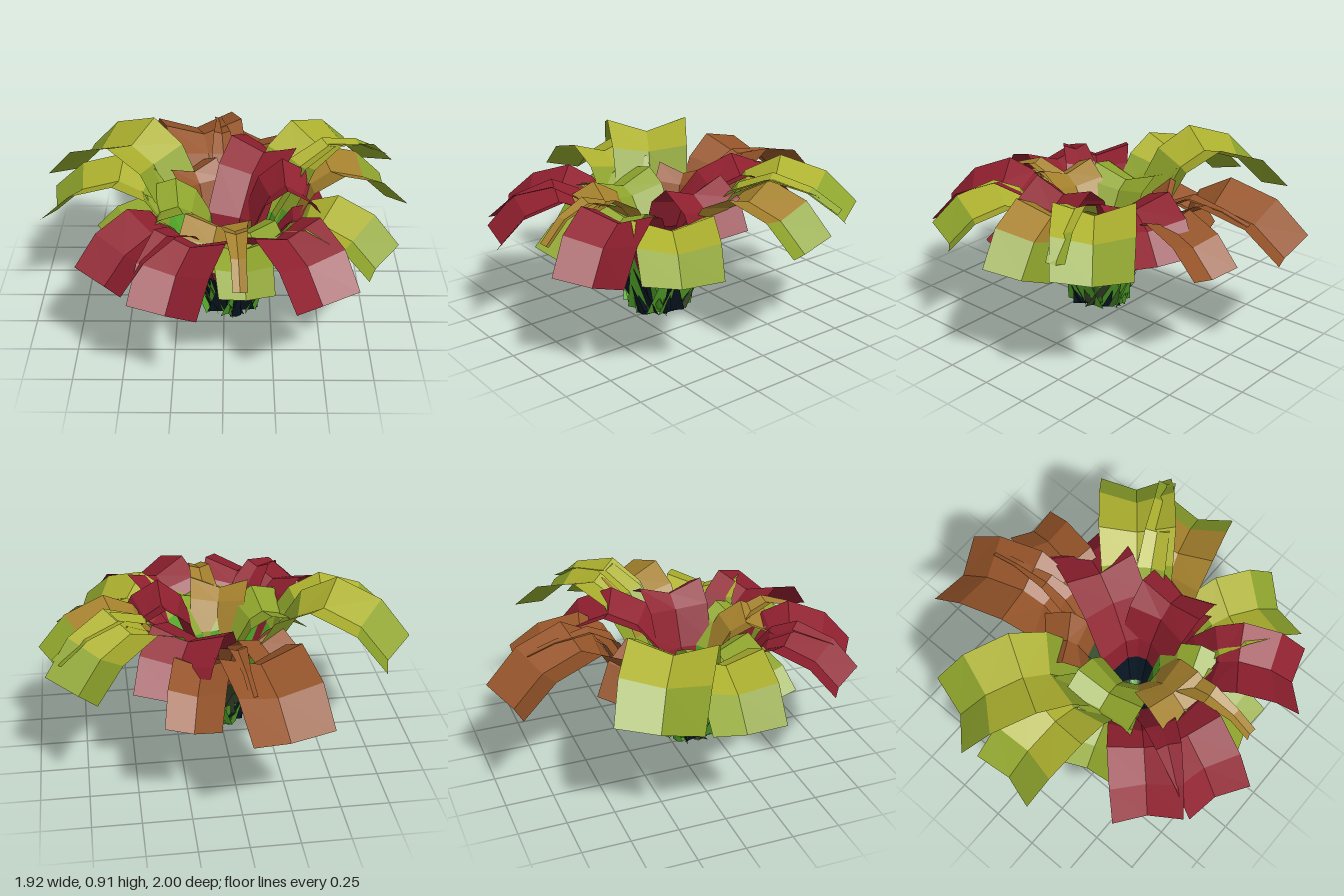
import * as THREE from 'three';

const mat = (name, color) => {
  const m = new THREE.MeshStandardMaterial({ color, side: THREE.DoubleSide, flatShading: true });
  m.name = name;
  return m;
};

export function createModel() {
  const plant = new THREE.Group();
  plant.name = 'plant';

  const navy = mat('deepNavy', 0x081724), red = mat('crimson', 0x8e1f2e);
  const green = mat('freshGreen', 0x55a82a), lime = mat('lime', 0x8ea42c);
  const yellow = mat('yellowGreen', 0xacb02e), gold = mat('gold', 0xa4802c);
  const brown = mat('rust', 0x955429), moss = mat('mossGreen', 0x3a4d2e);
  const grass = mat('grassGreen', 0x3a6e20);

  // Material of each of the six segments, from root to tip
  const schemes = {
    red: [navy, red, red, red, red, red],
    lime: [green, green, lime, yellow, yellow, lime],
    pale: [green, green, lime, lime, lime, lime],
    fresh: [grass, green, lime, lime, lime, green],
    gold: [green, lime, gold, gold, gold, lime],
    rust: [moss, moss, brown, brown, brown, brown],
    bronze: [green, lime, gold, gold, gold, gold],
  };
  const cx = 0.03, cz = 0.12;

  // Folded strip: rows are [radius, height, width], edges raised by fold * width
  function strip(name, angle, rows, mats, fold) {
    const d = new THREE.Vector3(Math.sin(angle), 0, Math.cos(angle));
    const side = new THREE.Vector3(d.z, 0, -d.x);
    const mids = rows.map(([r, y]) => new THREE.Vector3(cx + d.x * r, y, cz + d.z * r));
    const lines = mids.map((p, i) => {
      const t = mids[Math.min(i + 1, mids.length - 1)].clone().sub(mids[Math.max(i - 1, 0)]).normalize();
      const n = t.cross(side);
      const w = rows[i][2];
      return [-0.5, 0, 0.5].map(k =>
        p.clone().addScaledVector(side, k * w).addScaledVector(n, k ? fold * w : 0));
    });
    const pos = [], used = [...new Set(mats)];
    const g = new THREE.BufferGeometry();
    for (let i = 0; i + 1 < lines.length; i++) {
      g.addGroup(pos.length / 3, 12, used.indexOf(mats[i]));
      for (let k = 0; k < 2; k++) {
        const a = lines[i][k], b = lines[i][k + 1], c = lines[i + 1][k + 1], e = lines[i + 1][k];
        for (const v of [a, e, c, a, c, b]) pos.push(v.x, v.y, v.z);
      }
    }
    g.setAttribute('position', new THREE.Float32BufferAttribute(pos, 3));
    g.computeVertexNormals();
    const mesh = new THREE.Mesh(g, used);
    mesh.name = name;
    plant.add(mesh);
  }

  // Arching leaf whose midrib ends at (x, y, z); root and bend are radii near the stem
  function leaf(name, scheme, [x, y, z], peak, width, root, bend, bendY, tipScale = 1) {
    const R = Math.hypot(x - cx, z - cz), top = 0.63 * R;
    const rows = [
      [root, 0.04, 0.85 * width],
      [root + (bend - root) * 0.55, 0.32, 0.85 * width],
      [bend, bendY, 0.87 * width],
      [(bend + top) / 2, bendY + (peak - bendY) * 0.75, 0.93 * width],
      [top, peak, width * (1 + tipScale) / 2],
      [0.84 * R, peak - (peak - y) * 0.3, width * tipScale],
      [R, y, 0.96 * width * tipScale],
    ];
    strip(name, Math.atan2(x - cx, z - cz), rows, schemes[scheme], 0.17);
  }

  // Outer crown: scheme, tip, peak height, width
  for (const [scheme, tip, peak, width] of [
    ['lime', [0.77, 0.61, -0.50], 0.81, 0.40],
    ['gold', [0.87, 0.56, -0.14], 0.76, 0.38],
    ['lime', [0.75, 0.51, 0.51], 0.68, 0.40],
    ['red', [0.47, 0.50, 0.82], 0.71, 0.38],
    ['pale', [0.11, 0.51, 0.79], 0.63, 0.28],
    ['red', [-0.27, 0.49, 0.89], 0.69, 0.37],
    ['red', [-0.57, 0.52, 0.69], 0.69, 0.37],
    ['lime', [-0.88, 0.57, 0.04], 0.76, 0.38],
    ['lime', [-0.80, 0.61, -0.36], 0.84, 0.44],
    ['pale', [-0.58, 0.52, 0.30], 0.64, 0.30],
  ]) leaf('outerLeaf', scheme, tip, peak, width, 0.09, 0.33, 0.53);

  // Leaning leaves at the back
  leaf('backLeaf', 'rust', [-0.20, 0.53, -0.91], 0.74, 0.43, 0.06, 0.43, 0.48);
  leaf('backLeaf', 'rust', [0.24, 0.54, -0.79], 0.70, 0.28, 0.06, 0.40, 0.48);
  leaf('backLeaf', 'rust', [-0.27, 0.47, -0.37], 0.68, 0.28, 0.05, 0.26, 0.48);

  // Inner crown, rising close to the axis
  for (const [scheme, tip, peak, width] of [
    ['red', [0.32, 0.55, -0.52], 0.75, 0.38],
    ['red', [0.48, 0.56, 0.10], 0.76, 0.36],
    ['pale', [-0.39, 0.58, 0.18], 0.66, 0.38],
    ['gold', [-0.07, 0.53, 0.58], 0.69, 0.32],
    ['fresh', [0.19, 0.53, 0.57], 0.65, 0.27],
  ]) leaf('innerLeaf', scheme, tip, peak, width, 0.06, 0.13, 0.50);

  // Narrow leaves
  leaf('narrowLeaf', 'bronze', [0.08, 0.58, 0.83], 0.74, 0.15, 0.06, 0.18, 0.52, 0.5);
  leaf('narrowLeaf', 'rust', [-0.04, 0.72, -0.79], 0.78, 0.14, 0.06, 0.34, 0.50, 0.3);
  leaf('narrowLeaf', 'lime', [0.86, 0.71, -0.36], 0.84, 0.16, 0.06, 0.26, 0.53, 0.6);
  leaf('narrowLeaf', 'red', [0.66, 0.54, 0.27], 0.64, 0.20, 0.06, 0.26, 0.50, 0.6);

  // Tuft of small pointed blades around the root
  const blades = [grass, navy, moss, grass, green, navy];
  for (let i = 0; i < 26; i++) {
    const h = 0.15 + 0.12 * Math.abs(Math.sin(i * 2.3));
    const r = 0.15 + 0.04 * Math.sin(i * 1.7);
    const m = blades[i % blades.length];
    strip('rootBlade', i * Math.PI * 2 / 26 + 0.1 * Math.sin(i * 3.1), [
      [0.005, 0.005, 0.004], [r * 0.75, 0.06 + 0.02 * Math.sin(i * 5), 0.06], [r + 0.03, h, 0.002],
    ], [m, m], 0.12);
  }
  return plant;
}
